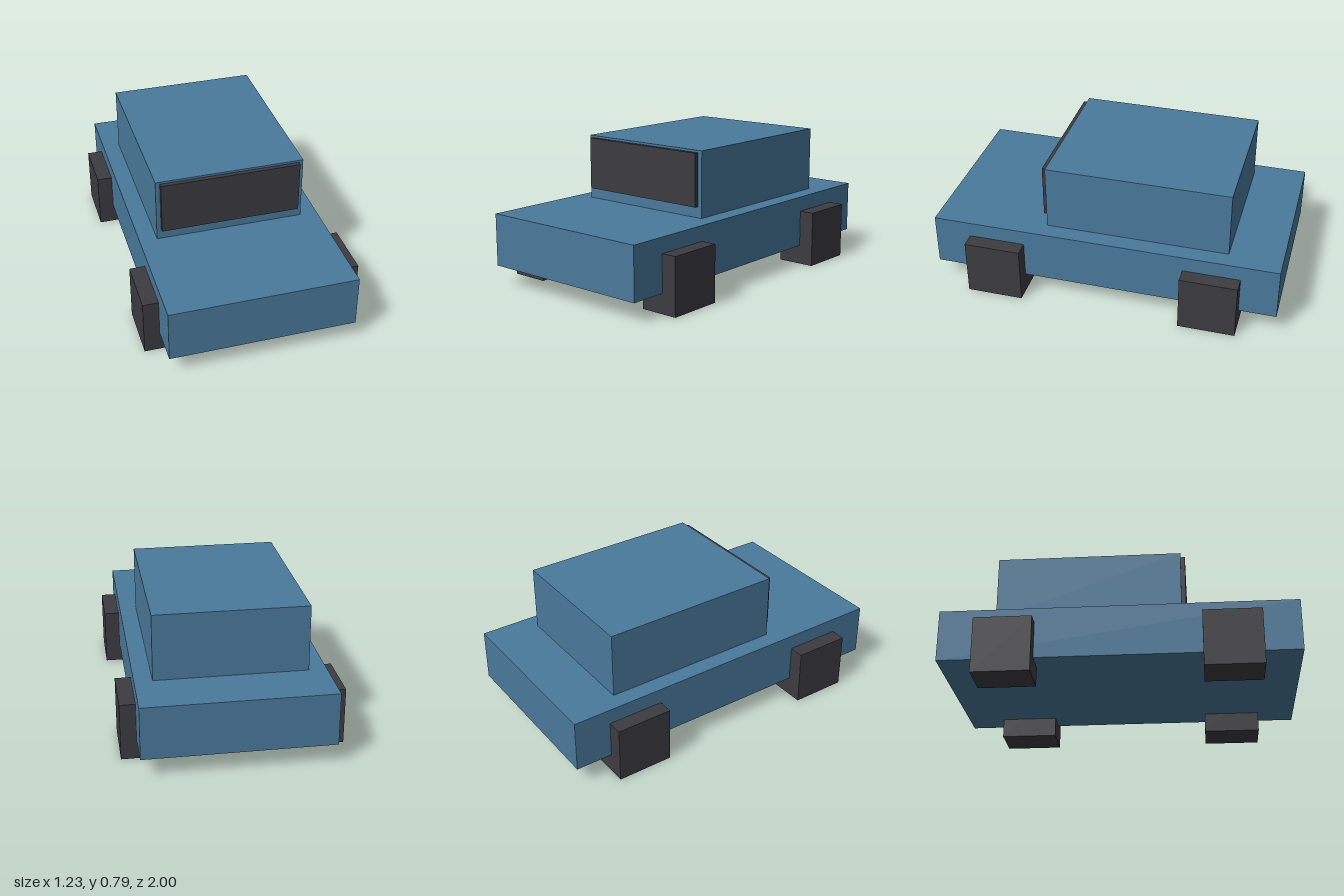
import * as THREE from 'three';

export function createModel() {
  const car = new THREE.Group();
  car.name = 'car';

  const paint = new THREE.MeshStandardMaterial({ color: 0x4a7a9c });
  const dark = new THREE.MeshStandardMaterial({ color: 0x3c3b41 });

  // Box given by its size and the position of its centre
  function addBox(name, material, [w, h, d], [x, y, z]) {
    const mesh = new THREE.Mesh(new THREE.BoxGeometry(w, h, d), material);
    mesh.name = name;
    mesh.position.set(x, y, z);
    car.add(mesh);
  }

  // Body and cabin
  addBox('body', paint, [1.05, 0.3, 2], [0, 0.2625, 0]);
  addBox('cabin', paint, [0.85, 0.375, 1.05], [0, 0.6, -0.175]);

  // Windscreen, standing slightly proud of the cabin front
  addBox('windscreen', dark, [0.8, 0.3, 0.05], [0, 0.625, 0.35]);

  // Four block wheels, partly sunk into the body
  for (const [side, x] of [['left', 0.5], ['right', -0.5]]) {
    for (const [end, z] of [['Front', 0.625], ['Back', -0.625]]) {
      addBox(`${side}${end}Wheel`, dark, [0.225, 0.325, 0.325], [x, 0.1625, z]);
    }
  }

  return car;
}
